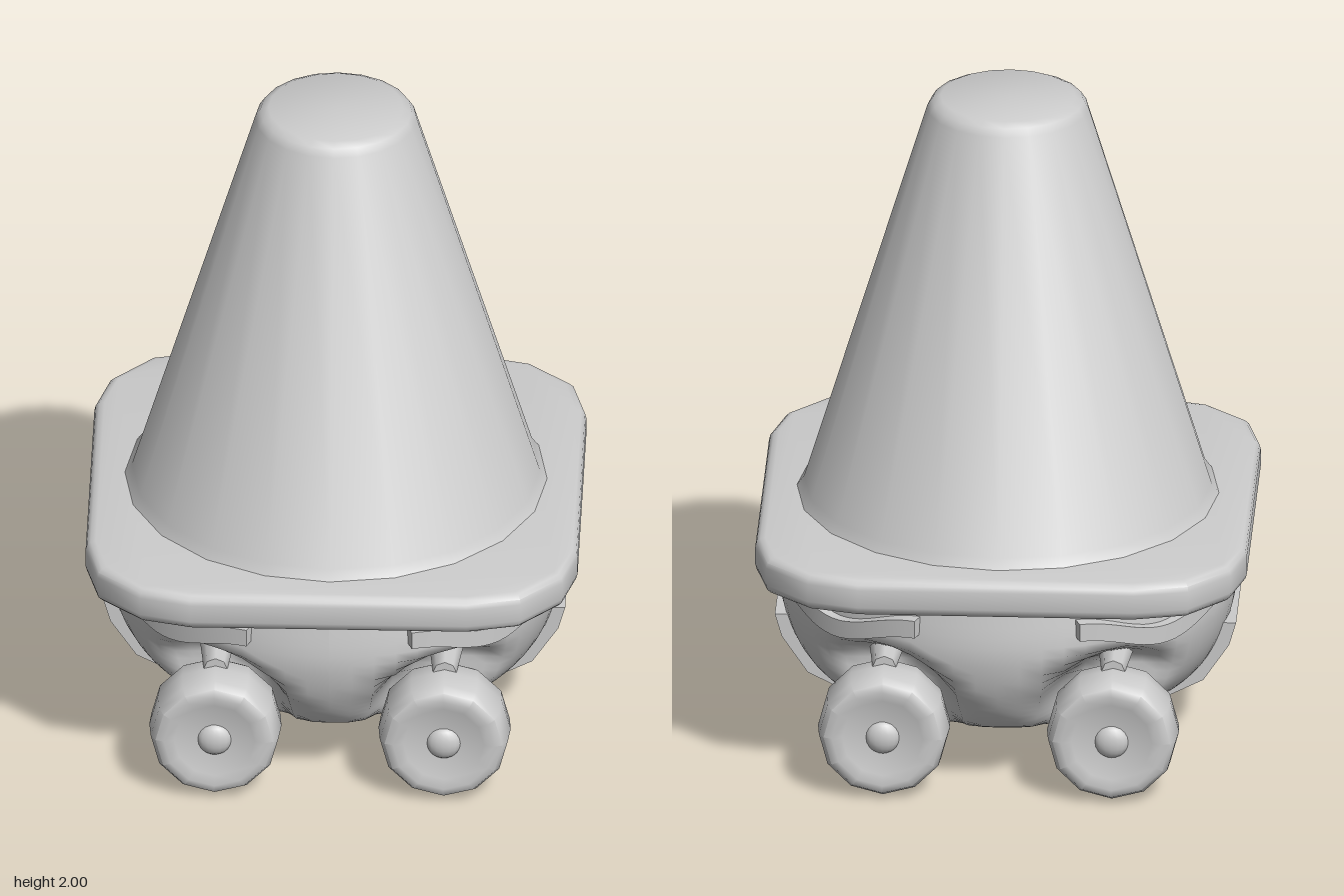
import * as THREE from 'three';
import { toCreasedNormals } from 'three/addons/utils/BufferGeometryUtils.js';

const v2 = (list) => list.map(([x, y]) => new THREE.Vector2(x, y));

export function createModel() {
  const model = new THREE.Group();
  const grey = new THREE.MeshStandardMaterial({ color: 0xcccccc });
  const add = (name, geometry, parent = model) => {
    const mesh = new THREE.Mesh(geometry, grey);
    mesh.name = name;
    parent.add(mesh);
    return mesh;
  };
  const lathe = (points, sides, crease = 0.6) =>
    toCreasedNormals(new THREE.LatheGeometry(v2(points), sides), crease);

  // Tall cone with a small flare at the foot and a softened tip
  add('cone', lathe([[0.63, 0.73], [0.605, 0.765], [0.24, 1.965], [0.225, 1.988], [0.2, 2], [0, 2]], 20));

  // Square brim with clipped corners
  const corner = [[0.73, 0.41], [0.69, 0.57], [0.56, 0.69], [0.41, 0.73]];
  const outline = [];
  for (let i = 0; i < 4; i++) {
    const c = Math.round(Math.cos(i * Math.PI / 2)), s = Math.round(Math.sin(i * Math.PI / 2));
    corner.forEach(([x, y]) => outline.push([c * x - s * y, s * x + c * y]));
  }
  const brim = new THREE.ExtrudeGeometry(new THREE.Shape(v2(outline)), {
    depth: 0.055, bevelThickness: 0.03, bevelSize: 0.03, bevelOffset: -0.03, bevelSegments: 3,
  });
  brim.rotateX(-Math.PI / 2).translate(0, 0.65, 0);
  add('brim', toCreasedNormals(brim, 0.7));
  add('post', new THREE.CylinderGeometry(0.04, 0.04, 0.06, 12).translate(0, 0.61, 0));

  // Bowl-shaped body, pressed inward behind each wheel
  const bowl = [[0, 0.12], [0.3, 0.125], [0.45, 0.15], [0.57, 0.21], [0.645, 0.32], [0.68, 0.46], [0.665, 0.6]];
  const curve = new THREE.SplineCurve(v2(bowl)).getPoints(30);
  const body = new THREE.LatheGeometry(curve, 64);
  const p = body.attributes.position;
  for (let i = 0; i < p.count; i++) {
    const z = p.getZ(i) * 0.96;
    const d = Math.hypot(Math.abs(p.getX(i)) - 0.36, p.getY(i) - 0.2);
    const dent = 1 - THREE.MathUtils.smoothstep(d, 0.17, 0.28);
    const inner = Math.sign(z) * Math.min(Math.abs(z), 0.38);
    p.setZ(i, THREE.MathUtils.lerp(z, inner, dent));
  }
  body.computeVertexNormals();
  add('body', body);
  add('bodyTop', new THREE.CircleGeometry(0.665, 64).rotateX(-Math.PI / 2).scale(1, 1, 0.96).translate(0, 0.6, 0));

  // Belly strap running under the body from end to end
  const half = [[0.3, 0.125], [0.45, 0.15], [0.57, 0.21], [0.645, 0.32], [0.665, 0.38]];
  const arc = [...half.map(([x, y]) => [-x, y]).reverse(), ...half];
  const outer = arc.map(([x, y]) => [x * 1.03, y > 0.37 ? y : 0.6 + (y - 0.6) * 1.04]);
  const inside = arc.map(([x, y]) => [x * 0.96, y > 0.37 ? y : 0.6 + (y - 0.6) * 0.95]).reverse();
  const strap = new THREE.ExtrudeGeometry(new THREE.Shape(v2([...outer, ...inside])), { depth: 0.3, bevelEnabled: false });
  add('bellyStrap', toCreasedNormals(strap.translate(0, 0, -0.15), 0.7));

  // Wavy bars bent around the four corners
  for (let i = 0; i < 4; i++) {
    const bar = new THREE.BoxGeometry(1, 0.055, 0.06, 20, 1, 1);
    const b = bar.attributes.position;
    for (let j = 0; j < b.count; j++) {
      const u = b.getX(j);
      const a = Math.PI / 4 + u * 0.86;
      const r = 0.675 + b.getZ(j);
      b.setXYZ(j, r * Math.sin(a), b.getY(j) + 0.545 - 0.06 * Math.cos(Math.PI * u) ** 2, r * Math.cos(a) * 0.97);
    }
    bar.computeVertexNormals();
    const mesh = add('cornerBar', toCreasedNormals(bar, 0.7));
    mesh.scale.set(i & 1 ? -1 : 1, 1, i & 2 ? -1 : 1);
  }

  // Four wheels with axles, hubs and knuckles
  for (const side of [0, Math.PI]) {
    const pair = new THREE.Group();
    pair.name = 'wheelPair';
    pair.rotation.y = side;
    model.add(pair);
    for (const x of [-0.34, 0.34]) {
      const wheel = lathe([[0, 0.46], [0.15, 0.46], [0.175, 0.47], [0.192, 0.5], [0.196, 0.56], [0.19, 0.63],
        [0.175, 0.657], [0.15, 0.665], [0.12, 0.655], [0, 0.645]], 12, 0.8);
      add('wheel', wheel.rotateX(Math.PI / 2).translate(x, 0.2, 0), pair);
      add('hub', new THREE.SphereGeometry(0.052, 16, 10).scale(1, 1, 0.6).translate(x, 0.2, 0.642), pair);
      add('axle', new THREE.CylinderGeometry(0.05, 0.05, 0.3, 12).rotateX(Math.PI / 2).translate(x, 0.205, 0.33), pair);
      add('knuckle', new THREE.CylinderGeometry(0.035, 0.055, 0.2, 8).rotateX(Math.PI / 2).translate(x, 0.385, 0.45), pair);
    }
  }
  return model;
}
